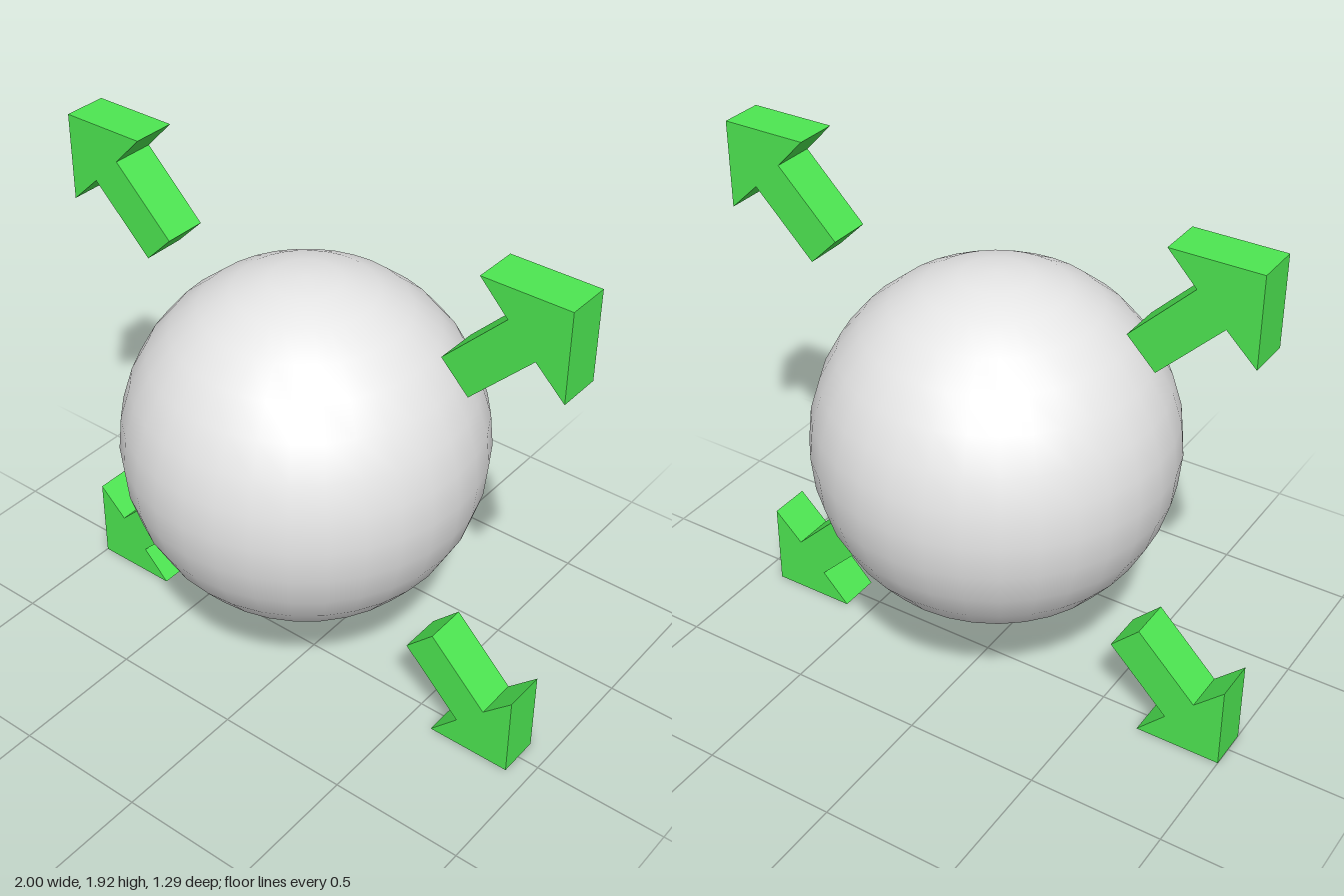
import * as THREE from 'three';

const DEPTH = 0.16;

// Outline of a diagonal arrow whose square tip sits at the origin
const OUTLINE = [[0, 0], [0.32, 0], [0.215, 0.11], [0.44, 0.335], [0.335, 0.44], [0.11, 0.215], [0, 0.32]];

// sx and sy point from the tip towards the shaft
function makeArrow(name, x, y, sx, sy, material) {
  const shape = new THREE.Shape(OUTLINE.map(([u, v]) => new THREE.Vector2(u * sx, v * sy)));
  const geometry = new THREE.ExtrudeGeometry(shape, { depth: DEPTH, bevelEnabled: false });
  geometry.translate(0, 0, -DEPTH / 2);
  const arrow = new THREE.Mesh(geometry, material);
  arrow.name = name;
  arrow.position.set(x, y, 0);
  return arrow;
}

export function createModel() {
  const grey = new THREE.MeshStandardMaterial({ color: 0xe6e6e6 });
  grey.name = 'light grey';
  const green = new THREE.MeshStandardMaterial({ color: 0x4de651 });
  green.name = 'green';

  const model = new THREE.Group();
  model.name = 'sphereWithArrows';

  // Central ball
  const ball = new THREE.Mesh(new THREE.SphereGeometry(0.643, 32, 16), grey);
  ball.name = 'ball';
  ball.position.set(-0.035, 0.968, 0);
  model.add(ball);

  // Four arrows pointing outwards to the corners
  model.add(
    makeArrow('upperRightArrow', -1, 1.92, 1, -1, green),
    makeArrow('upperLeftArrow', 1, 1.92, -1, -1, green),
    makeArrow('lowerRightArrow', -1, 0, 1, 1, green),
    makeArrow('lowerLeftArrow', 0.918, 0, -1, 1, green),
  );
  return model;
}
